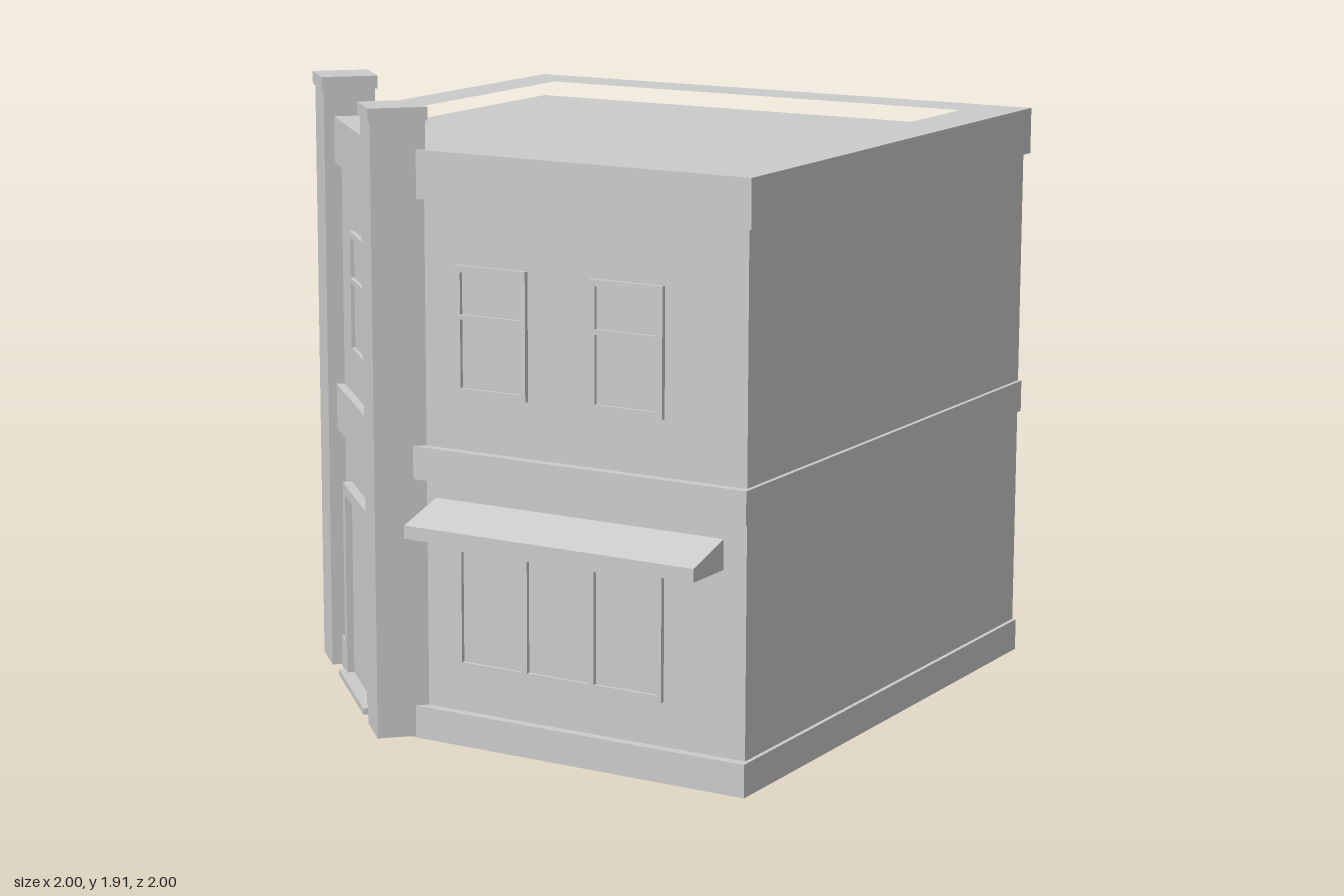
import * as THREE from 'three';

const material = new THREE.MeshStandardMaterial({ color: 0xcccccc, flatShading: true });

function add(parent, name, geometry) {
  const mesh = new THREE.Mesh(geometry, material);
  mesh.name = name;
  parent.add(mesh);
  return mesh;
}

// Box given by its lower and upper corners
function box(parent, name, x0, x1, y0, y1, z0, z1) {
  const mesh = add(parent, name, new THREE.BoxGeometry(x1 - x0, y1 - y0, z1 - z0));
  mesh.position.set((x0 + x1) / 2, (y0 + y1) / 2, (z0 + z1) / 2);
  return mesh;
}

// Upright prism over a floor plan of [x, z] points
function prism(parent, name, plan, y0, y1, hole) {
  const toPoints = (list) => list.map(([x, z]) => new THREE.Vector2(x, -z));
  const shape = new THREE.Shape(toPoints(plan));
  if (hole) shape.holes.push(new THREE.Path(toPoints(hole)));
  const geometry = new THREE.ExtrudeGeometry(shape, { depth: y1 - y0, bevelEnabled: false });
  geometry.rotateX(-Math.PI / 2);
  geometry.translate(0, y0, 0);
  return add(parent, name, geometry);
}

// Rectangular plan with the front left corner cut along z - x = cut;
// notch is the half width of an optional gap in the middle of the cut
function plan(left, right, back, front, cut, notch = 0, notchCut = cut) {
  const onCut = (sum, c) => [(sum - c) / 2, (sum + c) / 2];
  const s = notch * Math.SQRT2, mid = 0.015;
  const gap = notch
    ? [onCut(mid + s, cut), onCut(mid + s, notchCut), onCut(mid - s, notchCut), onCut(mid - s, cut)]
    : [];
  return [[left, back], [right, back], [right, front], [front - cut, front], ...gap, [left, left + cut]];
}

// Frame with rectangular openings [x0, x1, y0, y1] and recessed panes
function framed(parent, name, [x0, x1, y0, y1], openings, depth, paneDepth) {
  const group = new THREE.Group();
  group.name = name;
  const rect = (type, a, b, c, d) => new type([
    new THREE.Vector2(a, c), new THREE.Vector2(b, c), new THREE.Vector2(b, d), new THREE.Vector2(a, d)]);
  const shape = rect(THREE.Shape, x0, x1, y0, y1);
  openings.forEach((o) => shape.holes.push(rect(THREE.Path, ...o)));
  add(group, 'frame', new THREE.ExtrudeGeometry(shape, { depth, bevelEnabled: false }));
  openings.forEach(([a, b, c, d]) => box(group, 'pane', a, b, c, d, -0.01, paneDepth));
  parent.add(group);
  return group;
}

function sashWindow(parent, cx) {
  const w = 0.1225, p = 0.1025;
  framed(parent, 'sashWindow', [cx - w, cx + w, 1.07, 1.455],
    [[cx - p, cx + p, 1.09, 1.295], [cx - p, cx + p, 1.31, 1.435]], 0.015, 0.003);
}

// Shop front in wall space: x along the wall, z outwards
function shopFront(parent, windowX, awningX) {
  for (const side of [-1, 1]) sashWindow(parent, windowX + side * 0.23);

  const panes = [-1, 0, 1].map((i) => [windowX + i * 0.23 - 0.105, windowX + i * 0.23 + 0.105, 0.255, 0.595]);
  framed(parent, 'shopWindow', [windowX - 0.3525, windowX + 0.3525, 0.235, 0.615], panes, 0.015, 0.003);

  // Sloping awning, profile drawn as (-z, y) and turned to run along x
  const profile = new THREE.Shape([
    new THREE.Vector2(0, 0.655), new THREE.Vector2(0, 0.745),
    new THREE.Vector2(-0.17, 0.695), new THREE.Vector2(-0.17, 0.655)]);
  const geometry = new THREE.ExtrudeGeometry(profile, { depth: 0.98, bevelEnabled: false });
  geometry.rotateY(Math.PI / 2);
  geometry.translate(awningX - 0.49, 0, 0);
  add(parent, 'awning', geometry);
}

function wallGroup(parent, name, x, z, turn) {
  const group = new THREE.Group();
  group.name = name;
  group.position.set(x, 0, z);
  group.rotation.y = turn;
  parent.add(group);
  return group;
}

export function createModel() {
  const model = new THREE.Group();
  model.name = 'cornerBuilding';

  // Main volume, plinth, string course and parapet
  prism(model, 'walls', plan(-0.835, 0.975, -0.98, 0.828, 1.09), 0, 1.715);
  prism(model, 'plinth', plan(-0.85, 0.988, -0.978, 0.857, 1.12, 0.2, 1.08), 0, 0.1);
  prism(model, 'stringCourse', plan(-0.85, 0.988, -0.978, 0.857, 1.11), 0.8, 0.9);
  prism(model, 'parapet', plan(-0.85, 0.99, -1, 0.845, 1.12), 1.64, 1.785,
    plan(-0.7, 0.82, -0.83, 0.69, 0.915));

  // Two shop fronts
  shopFront(wallGroup(model, 'frontShop', 0, 0.828, 0), 0.3525, 0.41);
  shopFront(wallGroup(model, 'leftShop', -0.835, 0, -Math.PI / 2), -0.37, -0.37);

  // Cut corner with entrance
  const corner = wallGroup(model, 'cornerEntrance', -0.5375, 0.5525, -Math.PI / 4);
  framed(corner, 'door', [-0.22, 0.22, 0, 0.635], [[-0.18, 0.18, 0.02, 0.6]], 0.03, 0.008);
  box(corner, 'doorStep', -0.225, 0.225, 0, 0.02, 0, 0.05);
  box(corner, 'cornerBand', -0.36, 0.36, 0.785, 0.93, -0.02, 0.026);
  sashWindow(corner, 0);

  // Diagonal pillars with caps
  for (const [x, z] of [[-0.81, 0.24], [-0.225, 0.825]]) {
    const pillar = wallGroup(model, 'pillar', x, z, -Math.PI / 4);
    box(pillar, 'shaft', -0.0815, 0.0815, 0.005, 1.87, -0.0815, 0.0815);
    box(pillar, 'cap', -0.0885, 0.0885, 1.87, 1.91, -0.0885, 0.0885);
  }
  return model;
}
